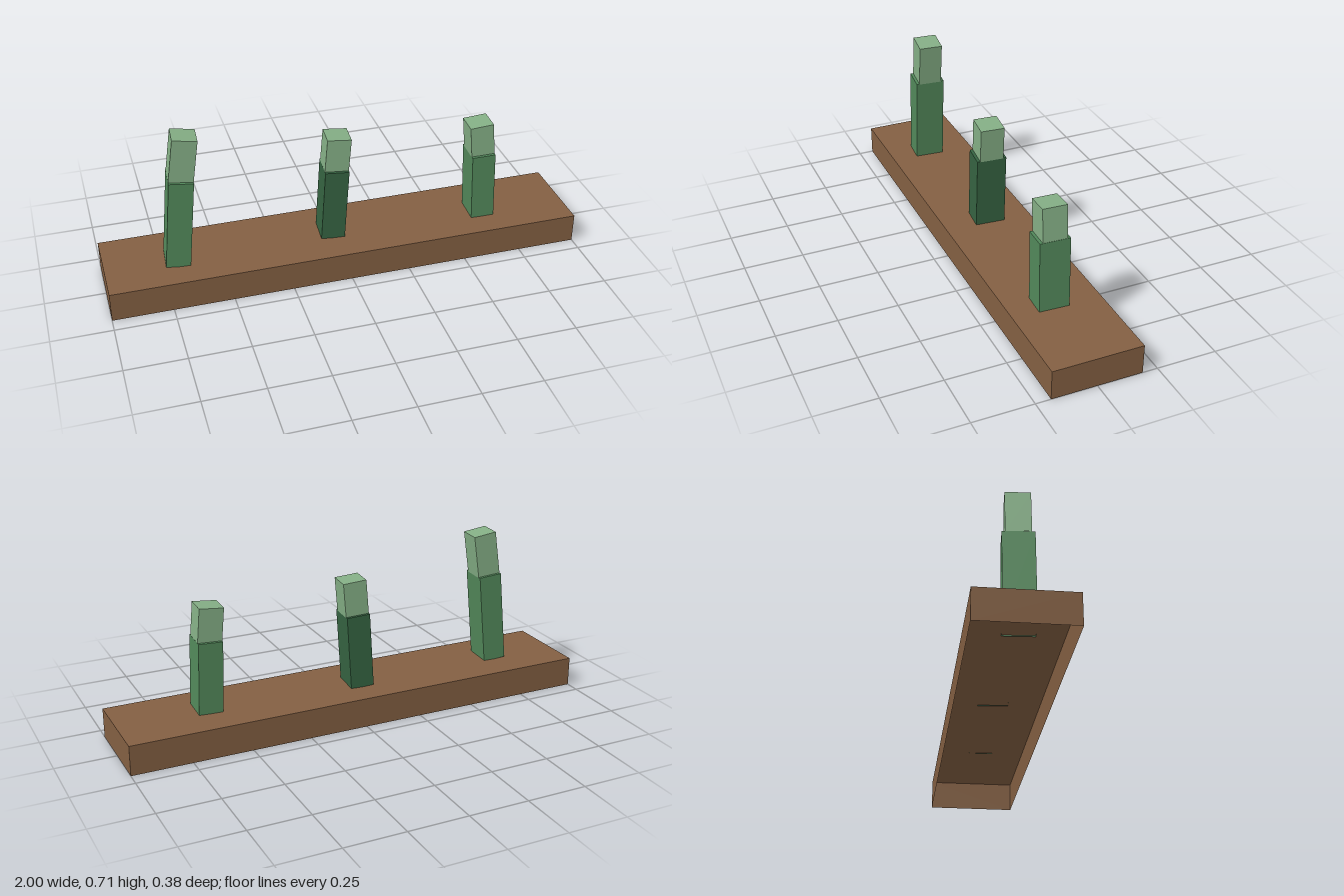
import * as THREE from 'three';

const flat = (name, color) => {
  const m = new THREE.MeshStandardMaterial({ color, flatShading: true, side: THREE.DoubleSide });
  m.name = name;
  return m;
};

// Box standing on its origin, without a bottom face
function openBox(w, h, d) {
  const g = new THREE.BoxGeometry(w, h, d);
  const index = Array.from(g.index.array);
  index.splice(18, 6);
  g.setIndex(index);
  g.clearGroups();
  g.translate(0, h / 2, 0);
  return g;
}

export function createModel() {
  const model = new THREE.Group();
  const soil = flat('soil brown', 0x835f42);
  const stemGreen = flat('stem green', 0x52885a);
  const darkGreen = flat('dark stem green', 0x356341);
  const tipGreen = flat('pale tip green', 0x84ae85);

  const add = (parent, name, geometry, material) => {
    const mesh = new THREE.Mesh(geometry, material);
    mesh.name = name;
    parent.add(mesh);
    return mesh;
  };

  // Planting bed, hollow below
  add(model, 'bed', openBox(2, 0.125, 0.375), soil);

  // Sprouts: lower stem plus a narrower tip that leans further
  const sprouts = [
    { name: 'rightSprout', x: -0.70, z: 0.013, yaw: -0.07, stem: 0.392, lean: 0.095, tip: 0.187, tipLean: 0.145, mat: stemGreen },
    { name: 'middleSprout', x: -0.041, z: -0.009, yaw: -0.075, stem: 0.317, lean: 0.06, tip: 0.147, tipLean: 0.08, mat: darkGreen },
    { name: 'leftSprout', x: 0.62, z: 0.014, yaw: -0.045, stem: 0.3, lean: -0.035, tip: 0.14, tipLean: -0.09, mat: stemGreen },
  ];
  for (const s of sprouts) {
    const sprout = new THREE.Group();
    sprout.name = s.name;
    sprout.position.set(s.x, 0.125, s.z);
    sprout.rotation.set(0, s.yaw, -s.lean);
    add(sprout, 'stem', openBox(0.1, s.stem, 0.125), s.mat);
    const tip = add(sprout, 'tip', openBox(0.1, s.tip, 0.1), tipGreen);
    tip.position.y = s.stem - 0.002;
    tip.rotation.z = s.lean - s.tipLean;
    model.add(sprout);
  }
  return model;
}
